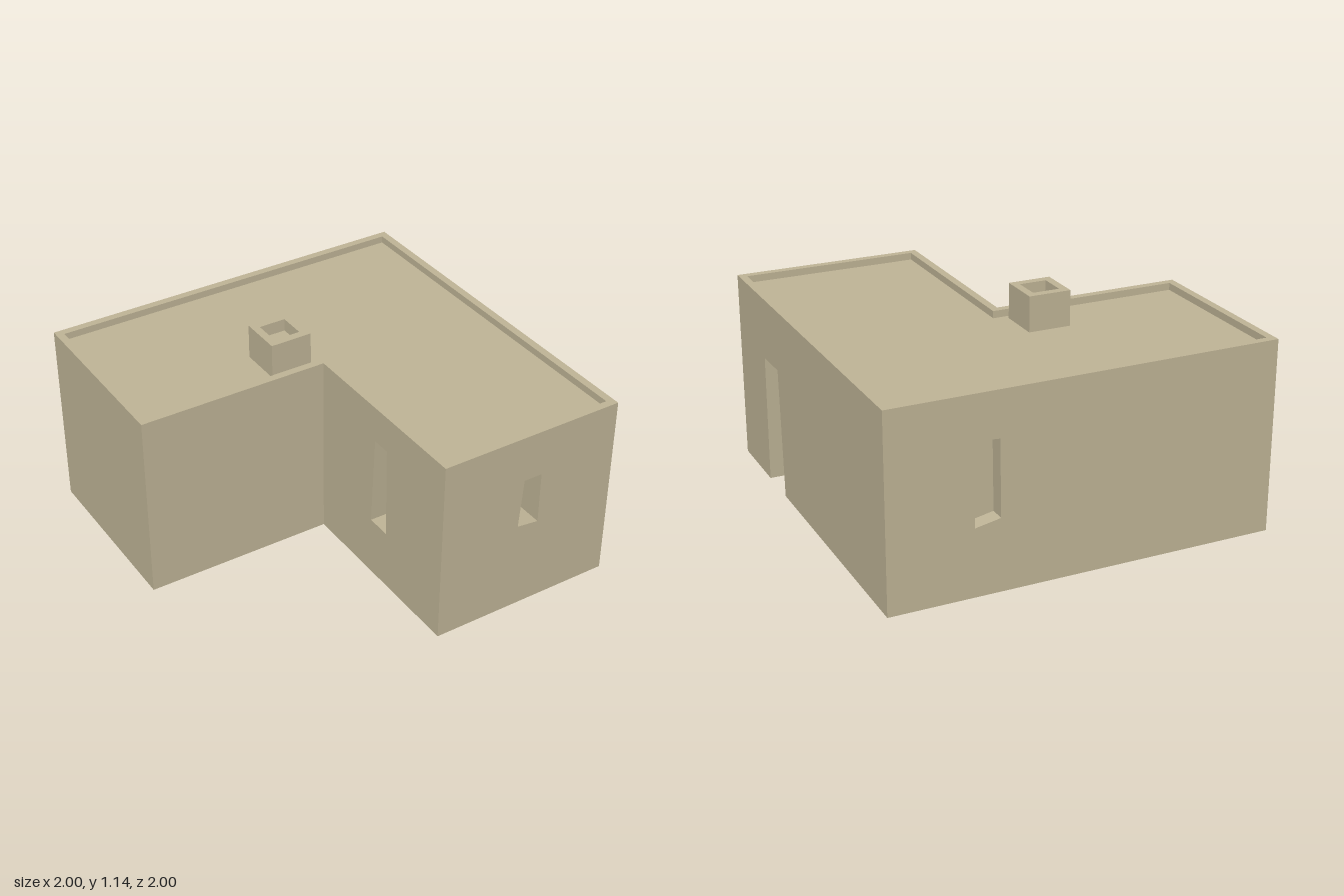
import * as THREE from 'three';

const clay = new THREE.MeshStandardMaterial({ color: 0xc0b597, side: THREE.DoubleSide });
clay.name = 'sandy clay';

const toPoints = (list) => list.map(([x, y]) => new THREE.Vector2(x, y));

// Side faces running round an outline from depth z0 to depth z1
function band(points, z0, z1, closed = true) {
  const pos = [];
  const count = closed ? points.length : points.length - 1;
  for (let i = 0; i < count; i++) {
    const a = points[i], b = points[(i + 1) % points.length];
    pos.push(a.x, a.y, z0, b.x, b.y, z0, b.x, b.y, z1);
    pos.push(a.x, a.y, z0, b.x, b.y, z1, a.x, a.y, z1);
  }
  const geometry = new THREE.BufferGeometry();
  geometry.setAttribute('position', new THREE.Float32BufferAttribute(pos, 3));
  geometry.computeVertexNormals();
  return geometry;
}

function addMesh(group, name, geometry) {
  const mesh = new THREE.Mesh(geometry, clay);
  mesh.name = name;
  group.add(mesh);
  return mesh;
}

// Flat panel facing local +z, with an optional recess sunk behind it
function panel(name, outline, recess, depth, open = false) {
  const group = new THREE.Group();
  group.name = name;
  const shape = new THREE.Shape(toPoints(outline));
  if (recess) {
    const points = toPoints(recess);
    if (!open) shape.holes.push(new THREE.Path(points));
    addMesh(group, name + 'RecessSides', band(points, 0, -depth, !open));
    const back = addMesh(group, name + 'RecessBack', new THREE.ShapeGeometry(new THREE.Shape(points)));
    back.position.z = -depth;
  }
  addMesh(group, name + 'Face', new THREE.ShapeGeometry(shape));
  return group;
}

const rect = (x0, y0, x1, y1) => [[x0, y0], [x1, y0], [x1, y1], [x0, y1]];

export function createModel() {
  const house = new THREE.Group();
  house.name = 'house';
  const step = -0.035; // z of the wall beside the courtyard

  function place(part, x, y, z, turn = 0) {
    part.position.set(x, y, z);
    part.rotation.y = turn;
    house.add(part);
  }

  // Front wall with a crooked window
  place(panel('frontWall', rect(0, 0, 1, 1),
    [[0.445, 0.485], [0.565, 0.47], [0.565, 0.75], [0.465, 0.75]], 0.15), 0, 0, 1);

  // Side wall with the doorway cut up from the ground
  const door = [[0.385, 0], [0.395, 0.675], [0.595, 0.68], [0.625, 0]];
  place(panel('doorWall', [[0, 0], ...door, [2, 0], [2, 1], [0, 1]], door, 0.145, true),
    1, 0, 1, Math.PI / 2);

  // Back wall with a tall window
  place(panel('backWall', rect(0, 0, 2, 1),
    [[0.43, 0.35], [0.56, 0.375], [0.555, 0.765], [0.435, 0.775]], 0.08), 1, 0, -1, Math.PI);

  // Plain walls of the wing
  place(panel('wingEndWall', rect(0, 0, 1 + step, 1)), -1, 0, -1, -Math.PI / 2);
  place(panel('wingFrontWall', rect(0, 0, 1, 1)), -1, 0, step);

  // Courtyard wall with a window
  place(panel('courtyardWall', rect(0, 0, 1 - step, 1),
    [[0.442, 0.32], [0.575, 0.32], [0.565, 0.81], [0.465, 0.81]], 0.11),
    0, 0, step, -Math.PI / 2);

  // Sunken roof inside a low parapet; the inset keeps the rim even
  const roofOutline = (t) => [
    [-1 + t, -step + t], [t, -step + t], [t, -1 + t],
    [1 - t, -1 + t], [1 - t, 1 - t], [-1 + t, 1 - t],
  ];
  const roof = panel('roof', roofOutline(0), roofOutline(0.04), 0.037);
  roof.rotation.x = -Math.PI / 2;
  roof.position.y = 1;
  house.add(roof);

  // Square chimney with a hollow top
  const chimneyOutline = rect(-0.25, 0.105, -0.03, 0.33);
  const chimney = panel('chimney', chimneyOutline, rect(-0.21, 0.147, -0.07, 0.288), 0.065);
  addMesh(chimney, 'chimneySides', band(toPoints(chimneyOutline), -0.182, 0));
  chimney.rotation.x = -Math.PI / 2;
  chimney.position.y = 1.145;
  house.add(chimney);

  return house;
}
